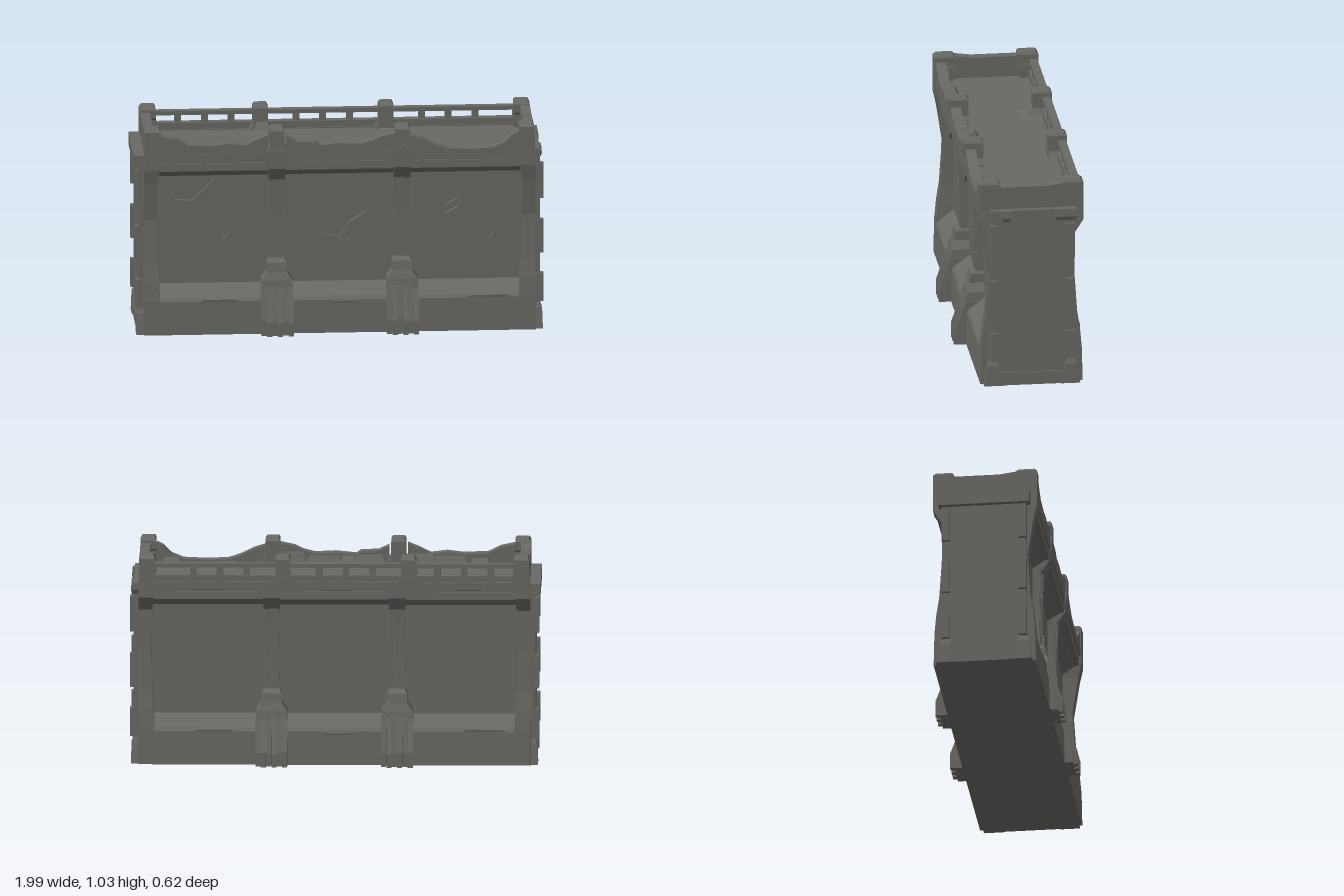
import * as THREE from 'three';

const stone = new THREE.MeshStandardMaterial({ color: 0x686864, flatShading: true });
stone.name = 'weathered stone';

let seed = 7;
const rnd = () => (seed = (seed * 16807) % 2147483647) / 2147483647;

function add(parent, name, geo) {
  const mesh = new THREE.Mesh(geo, stone);
  mesh.name = name;
  parent.add(mesh);
  return mesh;
}

// box given by its limits
function block(parent, name, x0, x1, y0, y1, z0, z1) {
  const g = new THREE.BoxGeometry(x1 - x0, y1 - y0, z1 - z0);
  g.translate((x0 + x1) / 2, (y0 + y1) / 2, (z0 + z1) / 2);
  return add(parent, name, g);
}

const shapeOf = pts => new THREE.Shape(pts.map(p => new THREE.Vector2(p[0], p[1])));

// (z, y) profile swept along x
function prism(parent, name, profile, x0, x1) {
  const g = new THREE.ExtrudeGeometry(shapeOf(profile), { depth: x1 - x0, bevelEnabled: false });
  g.rotateY(-Math.PI / 2).translate(x1, 0, 0);
  return add(parent, name, g);
}

// (x, y) outline given thickness along z
function slab(parent, name, outline, z0, z1, holes = []) {
  const s = shapeOf(outline);
  holes.forEach(h => s.holes.push(shapeOf(h)));
  const g = new THREE.ExtrudeGeometry(s, { depth: z1 - z0, bevelEnabled: false });
  return add(parent, name, g.translate(0, 0, z0));
}

// stack of rectangular sections [y, x0, x1, z0, z1] from bottom to top
function loft(parent, name, rows) {
  const pos = [], idx = [];
  for (const [y, x0, x1, z0, z1] of rows) pos.push(x0, y, z1, x1, y, z1, x1, y, z0, x0, y, z0);
  for (let r = 0; r < rows.length - 1; r++) {
    for (let i = 0; i < 4; i++) {
      const a = r * 4 + i, b = r * 4 + (i + 1) % 4;
      idx.push(a, b, b + 4, a, b + 4, a + 4);
    }
  }
  const t = (rows.length - 1) * 4;
  idx.push(0, 2, 1, 0, 3, 2, t, t + 1, t + 2, t, t + 2, t + 3);
  const g = new THREE.BufferGeometry();
  g.setAttribute('position', new THREE.Float32BufferAttribute(pos, 3));
  g.setIndex(idx);
  const flat = g.toNonIndexed();
  flat.computeVertexNormals();
  return add(parent, name, flat);
}

// pilaster with ribbed shaft, shifted post and splayed, fluted foot
function pilaster(parent, x, shift) {
  const p = new THREE.Group();
  p.name = 'pilaster';
  p.position.x = x;
  loft(p, 'pilasterBase', [[0.1, -0.07, 0.07, 0.1, 0.25], [0.215, -0.078, 0.078, 0.1, 0.252],
    [0.265, -0.075, 0.075, 0.1, 0.245], [0.305, -0.048, 0.048, 0.1, 0.232], [0.35, -0.048, 0.048, 0.1, 0.225], [0.37, -0.036, 0.036, 0.1, 0.205]]);
  loft(p, 'pilasterShaft', [[0.34, -0.04, 0.04, 0.1, 0.198], [0.6, -0.034, 0.036, 0.1, 0.193], [0.84, -0.04, 0.04, 0.1, 0.205]]);
  for (let i = 0; i < 3; i++) {
    const rx = -0.03 + i * 0.021, d = 0.2 + rnd() * 0.008;
    loft(p, 'shaftRib', [[0.36, rx, rx + 0.016, 0.15, d], [0.5 + rnd() * 0.12, rx + 0.003, rx + 0.015, 0.15, d - 0.004],
      [0.8, rx, rx + 0.016, 0.15, d + 0.006]]);
  }
  loft(p, 'pilasterCapital', [[0.765, -0.04, 0.04, 0.12, 0.208], [0.83, -0.042, 0.042, 0.12, 0.254],
    [0.865, -0.06, 0.06, 0.16, 0.255], [0.915, shift - 0.055, shift + 0.055, 0.16, 0.256], [0.945, shift - 0.035, shift + 0.035, 0.165, 0.255]]);
  loft(p, 'pilasterPost', [[0.9, shift - 0.036, shift + 0.036, 0.16, 0.254], [1.02, shift - 0.036, shift + 0.036, 0.16, 0.254],
    [1.033, shift - 0.028, shift + 0.028, 0.17, 0.245]]);
  for (let i = 0; i < 6; i++) {
    const rx = -0.078 + i * 0.026, d = 0.29 + (i % 2) * 0.02, h = 0.215 + rnd() * 0.03;
    prism(p, 'footFlute', [[0.2, 0], [d, 0], [d, 0.06 + rnd() * 0.02], [0.252, h], [0.2, h]], rx, rx + 0.025);
  }
  parent.add(p);
}

// tapering corner column with a post above the parapet
function cornerColumn(parent, s, neck) {
  const m = (y, a, b, z) => [y, Math.min(a * s, b * s), Math.max(a * s, b * s), 0.1, z];
  loft(parent, 'cornerColumn', [m(0, 0.87, 0.953, 0.25), m(0.17, 0.872, 0.953, 0.246), m(0.27, 0.878, 0.953, 0.237),
    m(0.36, 0.885, 0.953, 0.223), m(0.57, 0.888, 0.952, 0.209), m(0.76, 0.885, 0.952, neck), m(0.83, 0.875, 0.951, 0.254), m(0.89, 0.872, 0.948, 0.254)]);
  const c = 0.908 * s;
  loft(parent, 'cornerPost', [[0.86, c - 0.04, c + 0.04, 0.16, 0.254], [0.97, c - 0.04, c + 0.04, 0.16, 0.254],
    [0.98, c - 0.037, c + 0.037, 0.152, 0.254], [1.022, c - 0.037, c + 0.037, 0.152, 0.254], [1.034, c - 0.03, c + 0.03, 0.162, 0.24]]);
}

// everything shared by the two long faces
function longFace(name, holes, shift, neck) {
  const f = new THREE.Group();
  f.name = name;
  slab(f, 'recessedPanel', [[-0.93, 0.2], [0.93, 0.2], [0.93, 0.84], [-0.93, 0.84]], 0.135, 0.16, holes);
  prism(f, 'plinth', [[0.1, 0], [0.25, 0], [0.246, 0.165], [0.235, 0.182], [0.16, 0.238], [0.1, 0.238]], -0.94, 0.94);
  prism(f, 'cornice', [[0.1, 0.778], [0.16, 0.778], [0.222, 0.818], [0.243, 0.822], [0.243, 0.86], [0.1, 0.86]], -0.94, 0.94);
  prism(f, 'parapetBand', [[0.2, 0.85], [0.235, 0.85], [0.235, 0.866], [0.25, 0.87], [0.25, 0.91], [0.2, 0.91]], -0.93, 0.93);
  for (const s of [-1, 1]) {
    pilaster(f, 0.305 * s, shift);
    cornerColumn(f, s, neck);
  }
  // worn ridges along the plinth
  for (const [x, y, w] of [[-0.68, 0.175, 0.2], [-0.06, 0.16, 0.16], [0.62, 0.178, 0.22]])
    loft(f, 'plinthRidge', [[y - 0.012, x, x + w, 0.23, 0.248], [y, x + 0.02, x + w - 0.03, 0.22, 0.25], [y + 0.006, x + 0.03, x + w, 0.22, 0.24]]);
  return f;
}

export function createModel() {
  const model = new THREE.Group();
  model.name = 'ruinedWallSegment';

  // core and walkway
  block(model, 'core', -0.94, 0.94, 0, 0.86, -0.14, 0.14);
  block(model, 'walkway', -0.92, 0.92, 0.84, 0.905, -0.215, 0.215);

  // front face with chipped pits in the panels
  const pits = [
    [[-0.8, 0.66], [-0.72, 0.65], [-0.66, 0.7], [-0.6, 0.765], [-0.63, 0.765], [-0.69, 0.71], [-0.78, 0.68]],
    [[-0.6, 0.525], [-0.57, 0.44], [-0.53, 0.49]],
    [[-0.07, 0.47], [0.0, 0.46], [0.05, 0.53], [0.13, 0.58], [0.15, 0.65], [0.05, 0.64], [-0.02, 0.6], [0.0, 0.54]],
    [[0.0, 0.45], [0.06, 0.44], [0.03, 0.455]],
    [[0.52, 0.61], [0.57, 0.64], [0.6, 0.69], [0.54, 0.66]],
    [[0.51, 0.565], [0.58, 0.6], [0.6, 0.63], [0.53, 0.6]],
    [[0.7, 0.46], [0.73, 0.44], [0.755, 0.47], [0.74, 0.505], [0.71, 0.49]],
  ];
  const front = longFace('frontFace', pits, 0, 0.238);
  model.add(front);
  // broken solid parapet
  const jagged = [
    [[-0.87, 1.0], [-0.8, 0.985], [-0.74, 0.955], [-0.62, 0.95], [-0.54, 0.96], [-0.46, 0.95], [-0.41, 0.975], [-0.35, 1.0]],
    [[-0.26, 0.99], [-0.21, 0.965], [-0.12, 0.96], [-0.1, 0.945], [0, 0.955], [0.1, 0.95], [0.16, 0.965], [0.2, 0.985], [0.27, 1.0]],
    [[0.34, 0.99], [0.4, 0.97], [0.46, 0.94], [0.52, 0.92], [0.62, 0.915], [0.74, 0.92], [0.8, 0.945], [0.84, 0.985], [0.87, 1.0]],
  ];
  for (const top of jagged) {
    const a = top[0][0], b = top[top.length - 1][0];
    slab(front, 'brokenParapet', [[a, 0.87], [b, 0.87], ...top.slice().reverse()], 0.198, 0.249);
  }
  // thick rubble courses leaning on the inside of the broken parapet
  for (const [x, w, h, d] of [[-0.7, 0.1, 0.03, 0.05], [-0.55, 0.2, 0.04, 0.035], [-0.42, 0.14, 0.05, 0.045], [-0.16, 0.18, 0.045, 0.04],
    [-0.06, 0.08, 0.04, 0.08], [0.06, 0.2, 0.04, 0.035], [0.2, 0.12, 0.06, 0.045], [0.53, 0.12, 0.01, 0.035], [0.8, 0.1, 0.03, 0.04]])
    loft(front, 'rubble', [[0.89, x - w / 2, x + w / 2, 0.2 - d, 0.22], [0.9 + h, x - w / 2.6, x + w / 3, 0.205 - d * 0.6, 0.22]]);

  // back face with an open railing, its posts off the pilaster axes
  const back = longFace('backFace', [], 0.055, 0.209);
  back.rotation.y = Math.PI;
  model.add(back);
  block(back, 'topRail', -0.9, 0.9, 0.98, 1.0, 0.208, 0.248);
  block(back, 'railCurb', -0.9, 0.9, 0.9, 0.942, 0.205, 0.236);
  block(back, 'curbLedge', -0.9, 0.9, 0.928, 0.942, 0.21, 0.248);
  for (const c of [-0.555, 0.055, 0.63])
    for (let i = -1; i <= 1; i++) block(back, 'baluster', c + i * 0.13 - 0.016, c + i * 0.13 + 0.016, 0.9, 0.985, 0.212, 0.245);
  // shards spreading from the back posts
  for (const [x, w, d] of [[0.355, 0.1, 0.1], [-0.245, 0.06, 0.04]])
    loft(back, 'postShard', [[0.9, x - w, x + w * 0.8, 0.18 - d, 0.2], [0.915, x - w * 0.5, x + w * 0.4, 0.19 - d * 0.6, 0.2], [0.96, x - 0.02, x + 0.02, 0.165, 0.2]]);

  // ends: wall, parapet, corner quoins and footing
  for (const s of [-1, 1]) {
    const end = new THREE.Group();
    end.name = s > 0 ? 'leftEnd' : 'rightEnd';
    if (s < 0) end.rotation.y = Math.PI;
    block(end, 'endWall', 0.9, 0.975, 0, 0.897, -0.203, 0.203);
    slab(end, 'endParapet', [[-0.25, 0.84], [0.25, 0.84], [0.25, 1.02], [0.16, 1.02], [0.07, 1.008], [-0.14, 1.008], [-0.25, 1.02]], 0.9, 0.948)
      .geometry.rotateY(Math.PI / 2);
    for (const z of [-1, 1]) {
      for (const [y0, y1] of [[0.13, 0.27], [0.375, 0.54], [0.65, 0.825]])
        block(end, 'quoin', 0.93, 0.993, y0, y1, z > 0 ? 0.167 : -0.207, z > 0 ? 0.207 : -0.167);
      loft(end, 'footingBlock', [[0, 0.9, 0.988, z > 0 ? 0.14 : -0.235, z > 0 ? 0.235 : -0.14],
        [0.1, 0.9, 0.985, z > 0 ? 0.16 : -0.22, z > 0 ? 0.22 : -0.16], [0.125, 0.9, 0.975, z > 0 ? 0.17 : -0.21, z > 0 ? 0.21 : -0.17]]);
    }
    block(end, 'footing', 0.93, 0.983, 0, 0.065, -0.15, 0.15);
    if (s < 0) {
      block(end, 'lintel', 0.93, 1.0, 0.835, 0.898, -0.222, 0.222);
    } else {
      // remains of the broken lintel
      for (const [a, b] of [[0.1, 0.15], [-0.22, -0.11]])
        loft(end, 'lintelStump', [[0.84, 0.93, 0.98, a + 0.01, b - 0.01], [0.86, 0.93, 0.988, a, b], [0.898, 0.93, 0.985, a, b]]);
    }
    model.add(end);
  }
  return model;
}
